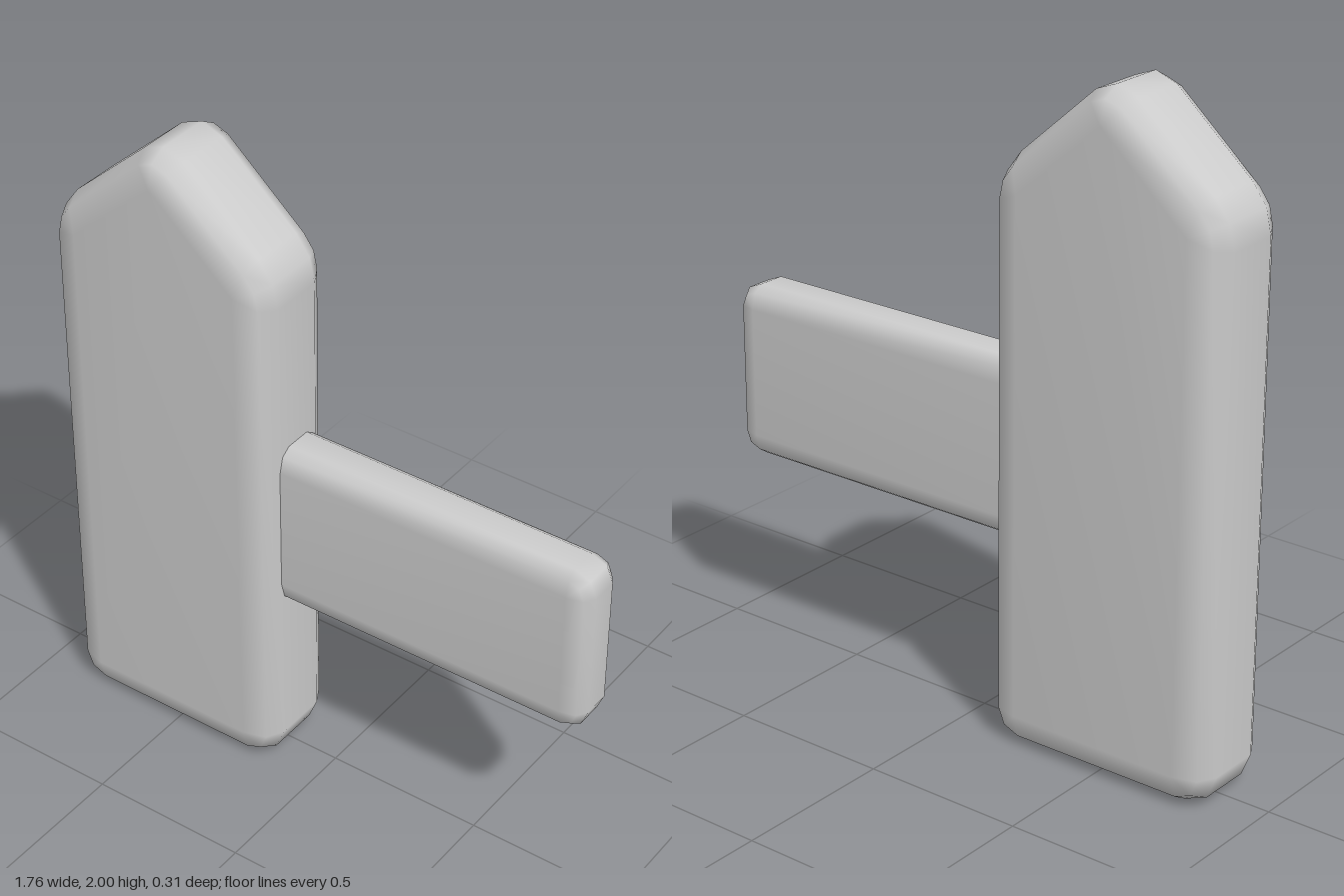
import * as THREE from 'three';
import { mergeVertices } from 'three/addons/utils/BufferGeometryUtils.js';

// Convex slab with two-step rounded edges.
// corners: [x, y, cut] counter-clockwise; inset: face border; h: half depth; bz: bevel depth
function roundedSlab(corners, inset, h, bz) {
  const outer = [], inner = [];
  corners.forEach(([x, y, cut], i) => {
    const n = corners.length;
    const p = new THREE.Vector2(x, y);
    const a = new THREE.Vector2(...corners[(i + n - 1) % n]).sub(p).normalize();
    const b = new THREE.Vector2(...corners[(i + 1) % n]).sub(p).normalize();
    const bisector = a.clone().add(b).normalize();
    const turn = Math.PI / 2 - Math.acos(a.dot(b)) / 2;
    const r = cut / Math.tan(turn);
    const core = p.clone().addScaledVector(bisector, inset / Math.cos(turn));
    outer.push(
      p.clone().addScaledVector(a, cut),
      p.clone().addScaledVector(bisector, r / Math.cos(turn) - r),
      p.clone().addScaledVector(b, cut));
    inner.push(core, core, core);
  });

  // Rings from the back face to the front face
  const count = outer.length, positions = [], index = [];
  const rings = [[-1, 90], [-1, 45], [-1, 0], [1, 0], [1, 45], [1, 90]];
  for (const [side, deg] of rings) {
    const t = THREE.MathUtils.degToRad(deg);
    const z = side * (h - bz + bz * Math.sin(t));
    outer.forEach((p, j) => {
      const q = inner[j].clone().lerp(p, Math.cos(t));
      positions.push(q.x, q.y, z);
    });
  }
  for (let k = 0; k < rings.length - 1; k++) {
    for (let j = 0; j < count; j++) {
      const a = k * count + j, b = k * count + (j + 1) % count;
      index.push(a, b, b + count, a, b + count, a + count);
    }
  }
  // Flat front and back
  const last = (rings.length - 1) * count;
  for (let j = 3; j < count - 3; j += 3) {
    index.push(last, last + j, last + j + 3, 0, j + 3, j);
  }
  const geometry = new THREE.BufferGeometry();
  geometry.setAttribute('position', new THREE.Float32BufferAttribute(positions, 3));
  geometry.setIndex(index);
  const merged = mergeVertices(geometry, 1e-4);
  merged.computeVertexNormals();
  return merged;
}

export function createModel() {
  const group = new THREE.Group();
  const material = new THREE.MeshStandardMaterial({ color: 0xcccccc });
  const add = (name, geometry) => {
    const mesh = new THREE.Mesh(geometry, material);
    mesh.name = name;
    group.add(mesh);
  };

  // Upright slab with a pointed top
  add('pointedPost', roundedSlab([
    [-0.88, 0, 0.1], [-0.13, 0, 0.1], [-0.13, 1.7, 0.083],
    [-0.505, 2.03, 0.09], [-0.88, 1.7, 0.083],
  ], 0.1, 0.157, 0.073));

  // Flat arm reaching out from the side
  add('sideArm', roundedSlab([
    [-0.22, 0.6, 0.07], [0.88, 0.6, 0.07], [0.88, 1.14, 0.07], [-0.22, 1.14, 0.07],
  ], 0.07, 0.085, 0.043));

  return group;
}
